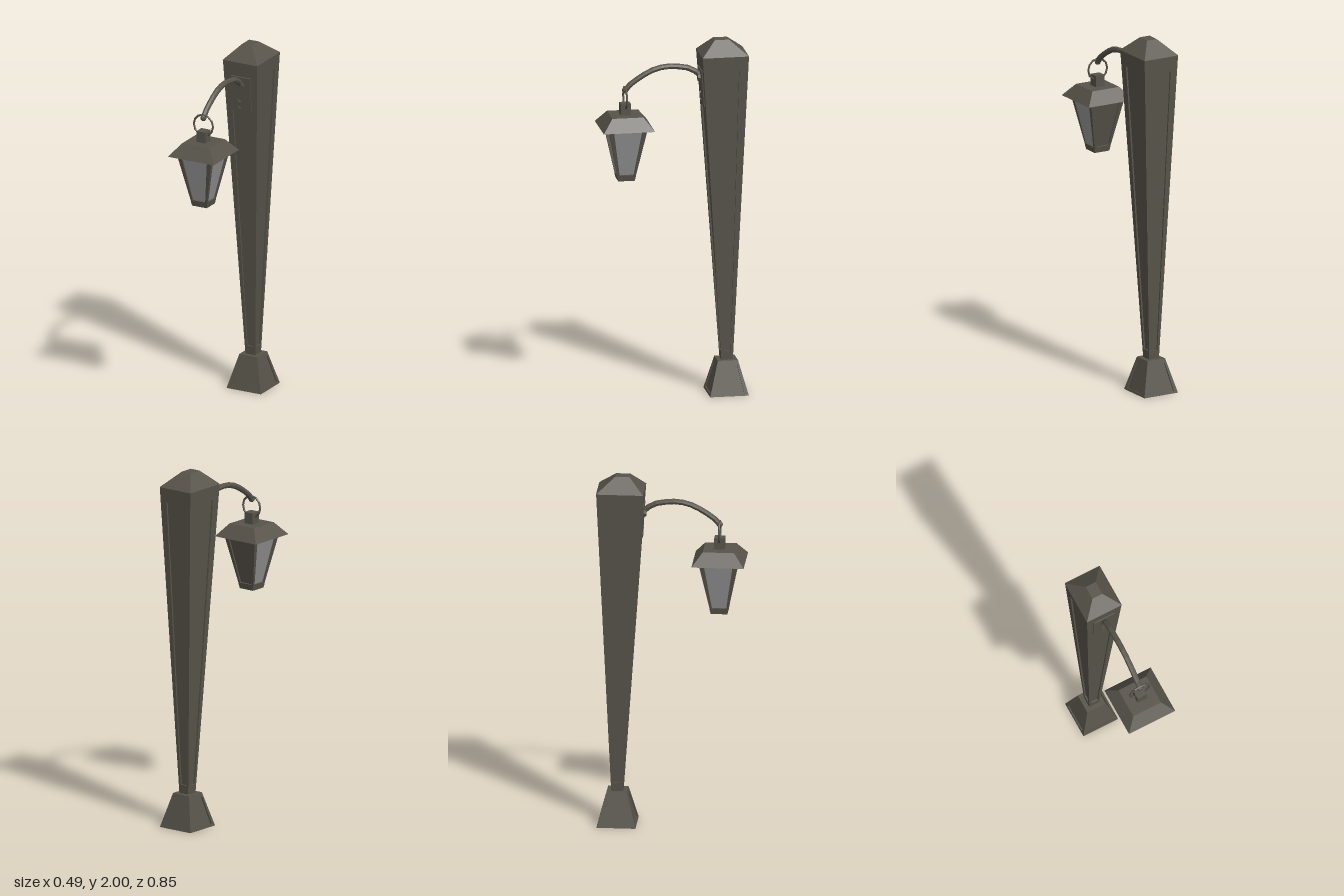
import * as THREE from 'three';

const metal = new THREE.MeshStandardMaterial({ color: 0x57534a });
metal.name = 'weatheredMetal';
metal.flatShading = true;
const glass = new THREE.MeshStandardMaterial({ color: 0x929292 });
glass.name = 'greyGlass';

const V = (x, y, z) => new THREE.Vector3(x, y, z);

// Corners of a level rectangle: front left, front right, back right, back left
const rect = (y, hx, zBack, zFront) => [V(-hx, y, zFront), V(hx, y, zFront), V(hx, y, zBack), V(-hx, y, zBack)];

function mesh(name, geometry, material = metal) {
  const m = new THREE.Mesh(geometry, material);
  m.name = name;
  return m;
}

function quadGeometry(quads) {
  const pos = [];
  for (const [a, b, c, d] of quads) for (const p of [a, b, c, a, c, d]) pos.push(p.x, p.y, p.z);
  const g = new THREE.BufferGeometry();
  g.setAttribute('position', new THREE.Float32BufferAttribute(pos, 3));
  g.computeVertexNormals();
  return g;
}

// Four-sided tapered block; panel = {u, v0, v1, depth} sinks a framed panel into every side.
// glazed lists the sides (0 front, 1 left, 2 back, 3 right) whose panel is glass.
function taperedBlock(name, bottom, top, panel = null, glazed = []) {
  const group = new THREE.Group();
  group.name = name;
  const solid = [top, [...bottom].reverse()], panes = [];
  for (let i = 0; i < 4; i++) {
    const j = (i + 1) % 4;
    const outer = [bottom[i], bottom[j], top[j], top[i]];
    if (!panel) { solid.push(outer); continue; }
    const at = (u, v) => outer[0].clone().lerp(outer[1], u).lerp(outer[3].clone().lerp(outer[2], u), v);
    const { u, v0, v1, depth } = panel;
    const inner = [at(u, v0), at(1 - u, v0), at(1 - u, v1), at(u, v1)];
    const normal = outer[1].clone().sub(outer[0]).cross(outer[3].clone().sub(outer[0])).normalize();
    const floor = inner.map(p => p.clone().addScaledVector(normal, -depth));
    for (let k = 0; k < 4; k++) {
      const n = (k + 1) % 4;
      solid.push([outer[k], outer[n], inner[n], inner[k]]);
      solid.push([inner[k], inner[n], floor[n], floor[k]]);
    }
    (glazed.includes(i) ? panes : solid).push(floor);
  }
  group.add(mesh(name + 'Frame', quadGeometry(solid)));
  if (panes.length) group.add(mesh(name + 'Panes', quadGeometry(panes), glass));
  return group;
}

const square = (y, h, z = 0) => rect(y, h, z - h, z + h);

export function createModel() {
  const model = new THREE.Group();
  model.name = 'streetLamp';
  model.position.set(-0.115, 0, -0.288);
  model.rotation.y = 0.315;

  // Foot, post widening upward, and cap
  model.add(taperedBlock('foot', square(0, 0.107), square(0.19, 0.056), { u: 0.1, v0: 0.07, v1: 0.87, depth: 0.008 }));
  model.add(taperedBlock('post', rect(0.19, 0.031, -0.032, 0.032), rect(1.92, 0.107, -0.108, 0.148),
    { u: 0.2, v0: 0.028, v1: 0.953, depth: 0.009 }));
  model.add(taperedBlock('postCap', rect(1.92, 0.108, -0.109, 0.149), rect(2, 0.031, -0.01, 0.068)));

  // Mounting plate with two scrolls, leaning with the front of the post
  const mount = new THREE.Group();
  mount.name = 'armMount';
  mount.position.set(0, 1.735, 0.133);
  mount.rotation.x = 0.067;
  mount.add(mesh('mountPlate', new THREE.BoxGeometry(0.124, 0.205, 0.016)));
  for (const y of [-0.025, -0.065]) {
    const scroll = mesh('mountScroll', new THREE.TorusGeometry(0.018, 0.004, 5, 8, Math.PI));
    scroll.position.set(0, y, 0.009);
    scroll.rotation.z = Math.PI;
    mount.add(scroll);
  }
  const boss = mesh('armBoss', new THREE.CylinderGeometry(0.024, 0.024, 0.02, 8));
  boss.rotation.x = Math.PI / 2;
  boss.position.set(0, 0.055, 0.012);
  mount.add(boss);
  model.add(mount);

  // Curved arm
  const path = new THREE.CatmullRomCurve3([
    V(0, 1.79, 0.135), V(0, 1.835, 0.19), V(0, 1.852, 0.26), V(0, 1.856, 0.334),
    V(0, 1.838, 0.41), V(0, 1.8, 0.48), V(0, 1.765, 0.53), V(0, 1.73, 0.562),
  ]);
  model.add(mesh('arm', new THREE.TubeGeometry(path, 10, 0.016, 8)));
  const tip = mesh('armTip', new THREE.SphereGeometry(0.018, 8, 6));
  tip.position.set(0, 1.733, 0.56);
  model.add(tip);

  // Lantern hanging from a ring
  const lantern = new THREE.Group();
  lantern.name = 'lantern';
  lantern.position.z = 0.56;
  const ring = mesh('hangingRing', new THREE.TorusGeometry(0.06, 0.006, 6, 12));
  ring.position.y = 1.69;
  lantern.add(ring);
  lantern.add(taperedBlock('lanternCollar', square(1.59, 0.028), square(1.66, 0.028)));
  lantern.add(taperedBlock('lanternRoof', square(1.527, 0.143), square(1.597, 0.086)));
  lantern.add(taperedBlock('lanternBody', square(1.255, 0.05), square(1.53, 0.106),
    { u: 0.12, v0: 0.03, v1: 0.97, depth: 0.008 }, [0, 1, 3]));
  lantern.add(taperedBlock('lanternBase', square(1.23, 0.046), square(1.256, 0.051)));
  model.add(lantern);

  const root = new THREE.Group();
  root.name = 'lampPost';
  root.add(model);
  return root;
}
